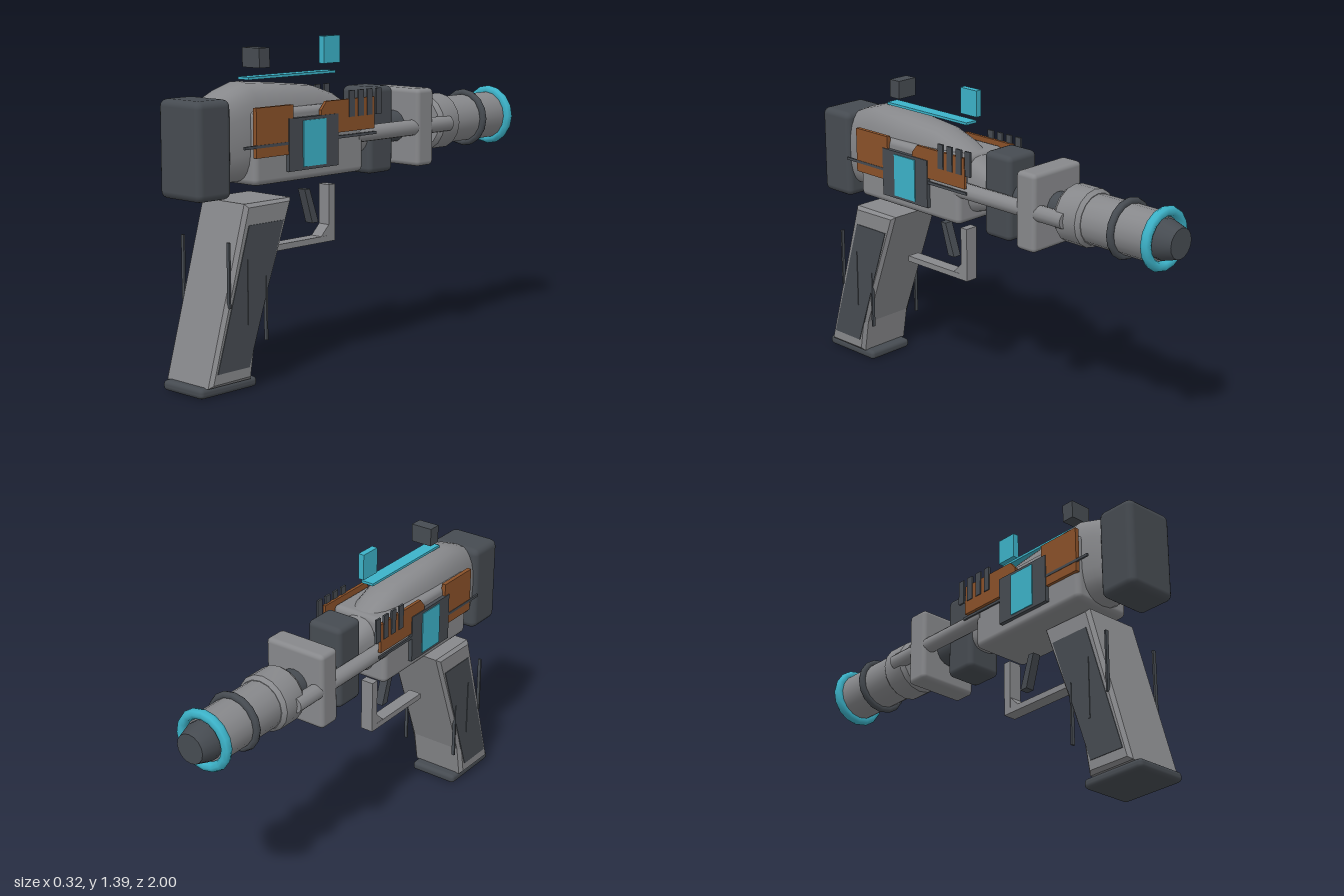
import * as THREE from 'three';
import { toCreasedNormals } from 'three/addons/utils/BufferGeometryUtils.js';
import { RoundedBoxGeometry } from 'three/addons/geometries/RoundedBoxGeometry.js';

export function createModel() {
  const model = new THREE.Group();
  const material = (name, color) => {
    const m = new THREE.MeshStandardMaterial({ color });
    m.name = name;
    return m;
  };
  const grey = material('grey', 0x87888b);
  const dark = material('darkGrey', 0x464b51);
  const rust = material('rust', 0x8a5129);
  const cyan = material('cyan', 0x3cb2c8);

  const AXIS = 0.975; // height of the barrel axis

  const add = (name, geometry, mat) => {
    const mesh = new THREE.Mesh(geometry, mat);
    mesh.name = name;
    model.add(mesh);
    return mesh;
  };
  // Box given by its extents along each axis, with optional rounding
  const box = (name, mat, [x0, x1], [y0, y1], [z0, z1], round = 0) => {
    const size = [x1 - x0, y1 - y0, z1 - z0];
    const geo = round ? new RoundedBoxGeometry(...size, 2, round) : new THREE.BoxGeometry(...size);
    geo.translate((x0 + x1) / 2, (y0 + y1) / 2, (z0 + z1) / 2);
    return add(name, geo, mat);
  };
  // Side profile of [z, y] points extruded across x
  const profile = (name, mat, points, width, bevel = 0, x = 0) => {
    const shape = new THREE.Shape(points.map(([z, y]) => new THREE.Vector2(z, y)));
    const depth = width - 2 * bevel;
    const geo = new THREE.ExtrudeGeometry(shape, {
      depth, bevelEnabled: bevel > 0, bevelSize: bevel, bevelThickness: bevel,
      bevelOffset: -bevel, bevelSegments: 1,
    });
    geo.translate(0, 0, -depth / 2).rotateY(-Math.PI / 2).translate(x, 0, 0);
    return add(name, geo, mat);
  };
  // Turned part along the barrel axis; [radius, z] points run from back to front
  const turned = (name, mat, points, x = 0, segments = 16) => {
    const geo = new THREE.LatheGeometry(points.map(([r, z]) => new THREE.Vector2(r, -z)), segments);
    geo.rotateX(-Math.PI / 2).translate(x, AXIS, 0);
    return add(name, toCreasedNormals(geo, 0.6), mat);
  };
  const ring = (name, mat, radius, tube, z) =>
    add(name, new THREE.TorusGeometry(radius, tube, 8, 16).translate(0, AXIS, z), mat);

  // Upper shell: rounded cross-sections as [z, half width, bottom, top]
  const stations = [
    [0.85, 0.1, 0.83, 1.17], [0.78, 0.112, 0.83, 1.2], [0.68, 0.12, 0.83, 1.23],
    [0.5, 0.12, 0.83, 1.215], [0.3, 0.112, 0.83, 1.195], [0.18, 0.1, 0.84, 1.155],
    [0.08, 0.085, 0.86, 1.1], [-0.02, 0.07, 0.89, 1.06],
  ];
  const N = 24, pos = [], index = [];
  const bulge = (v) => Math.sign(v) * Math.abs(v) ** 0.7;
  for (const [z, w, y0, y1] of stations) {
    for (let j = 0; j < N; j++) {
      const a = (j / N) * Math.PI * 2;
      pos.push(w * bulge(Math.cos(a)), (y0 + y1) / 2 + ((y1 - y0) / 2) * bulge(Math.sin(a)), z);
    }
  }
  const last = (stations.length - 1) * N;
  for (let j = 0; j < N; j++) {
    const k = (j + 1) % N;
    for (let o = 0; o < last; o += N) {
      index.push(o + j, o + N + j, o + k, o + k, o + N + j, o + N + k);
    }
    if (j > 0 && k > 0) index.push(0, j, k, last, last + k, last + j);
  }
  const shell = new THREE.BufferGeometry();
  shell.setAttribute('position', new THREE.Float32BufferAttribute(pos, 3));
  shell.setIndex(index);
  add('upperShell', toCreasedNormals(shell, 0.7), grey);

  // Receiver and rear cap
  box('receiver', grey, [-0.14, 0.14], [0.82, 1.12], [0.09, 0.72], 0.025);
  box('rearCap', dark, [-0.12, 0.12], [0.78, 1.175], [0.82, 1], 0.03);

  // Barrel assembly
  turned('innerBarrel', dark, [[0.07, 0.05], [0.07, -0.46]]);
  box('barrelBlock', dark, [-0.085, 0.085], [0.79, 1.165], [-0.158, -0.005], 0.025);
  box('barrelClamp', grey, [-0.146, 0.146], [0.805, 1.145], [-0.355, -0.248], 0.02);
  turned('barrelSleeve', grey, [[0, -0.43], [0.11, -0.43], [0.125, -0.45], [0.125, -0.555], [0.11, -0.572], [0, -0.572]]);
  turned('outerBarrel', grey, [[0.107, -0.56], [0.107, -0.91], [0, -0.91]]);
  ring('barrelBand', dark, 0.115, 0.016, -0.735);
  ring('muzzleRing', cyan, 0.114, 0.022, -0.915);
  turned('muzzleTip', dark, [[0.085, -0.9], [0.085, -0.935], [0.065, -1], [0, -1]]);

  // Sights and top strip
  box('topStrip', cyan, [-0.03, 0.03], [1.234, 1.245], [0.15, 0.65]);
  box('rearSight', dark, [-0.05, 0.05], [1.28, 1.36], [0.55, 0.608]);
  box('frontSight', cyan, [-0.014, 0.014], [1.275, 1.39], [0.105, 0.202]);

  // Details on both sides
  for (const s of [1, -1]) {
    const span = (a, b) => (s > 0 ? [a, b] : [-b, -a]);
    turned('sideTube', grey, [[0, 0.12], [0.035, 0.12], [0.035, -0.492], [0, -0.492]], s * 0.11, 12);
    box('rearSidePlate', rust, span(0.135, 0.154), [0.935, 1.135], [0.52, 0.725]);
    profile('frontSidePlate', rust,
      [[0.36, 1], [0.04, 1], [0.04, 1.135], [0.33, 1.135], [0.36, 1.1]], 0.014, 0, s * 0.147);
    box('sidePanel', dark, span(0.135, 0.158), [0.865, 1.08], [0.265, 0.548]);
    box('sideWindow', cyan, span(0.157, 0.162), [0.878, 1.067], [0.34, 0.47]);
    box('sideRail', dark, span(0.148, 0.156), [0.975, 0.987], [0.03, 0.79]);
    for (let i = 0; i < 4; i++) {
      const z = 0.017 + i * 0.055;
      box('coolingFin', dark, span(0.149, 0.158), [1.06, 1.17], [z - 0.016, z + 0.016]);
    }
    // Grip inlay and its thin ridges
    profile('gripInlay', dark, [[0.93, 0.095], [0.755, 0.67], [0.565, 0.67], [0.76, 0.095]], 0.02, 0, s * 0.13);
    [[0.863, 0.35], [0.763, 0.27], [0.663, 0.19]].forEach(([z, y]) =>
      box('gripRidge', dark, span(0.128, 0.143), [y, y + 0.265], [z - 0.004, z + 0.004]));
  }

  // Grip and foot
  profile('grip', grey,
    [[0.968, 0.04], [0.765, 0.755], [0.51, 0.755], [0.715, 0.19], [0.74, 0.04]], 0.274, 0.015);
  box('gripFoot', dark, [-0.118, 0.118], [0, 0.043], [0.695, 1], 0.018);

  // Trigger and guard
  profile('trigger', dark, [[0.325, 0.755], [0.295, 0.755], [0.243, 0.607], [0.28, 0.607]], 0.04);
  box('guardBottom', grey, [-0.03, 0.03], [0.518, 0.544], [0.19, 0.53]);
  box('guardFront', grey, [-0.03, 0.03], [0.518, 0.762], [0.153, 0.19]);
  profile('guardCorner', grey, [[0.24, 0.54], [0.19, 0.59], [0.153, 0.56], [0.195, 0.518]], 0.058);

  return model;
}
